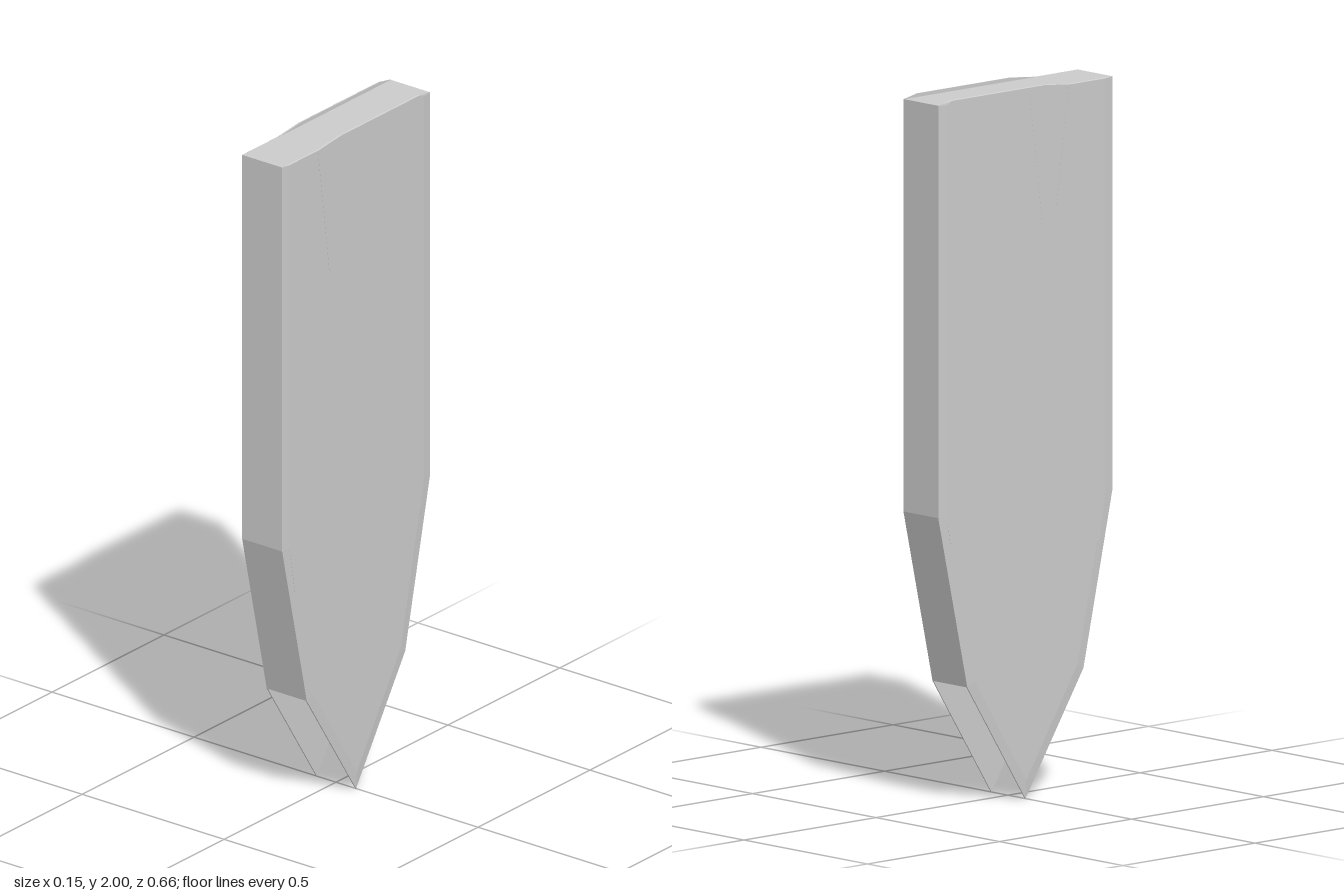
import * as THREE from 'three';

const material = new THREE.MeshStandardMaterial({ color: 0xcccccc, flatShading: true, side: THREE.DoubleSide });

// Outlines as [z, y], counter-clockwise seen from +x
const EDGE = [[0, 0], [-0.22, 0.34], [-0.33, 0.83], [-0.33, 1.99], [-0.28, 2], [0.07, 2], [0.17, 1.99], [0.33, 1.99], [0.33, 0.83], [0.22, 0.34]];
const FACE = [[0, 0.05], [-0.195, 0.355], [-0.3, 0.835], [-0.3, 1.988], [-0.28, 1.998], [0.07, 1.998], [0.17, 1.988], [0.3, 1.988], [0.3, 0.835], [0.195, 0.355]];

// Thin plate with a shallow bevel on its outer face
function plateGeometry(side) {
  const rings = [[0.067, EDGE], [0.0705, EDGE], [0.0735, FACE]];
  const n = EDGE.length;
  const positions = [];
  const vertex = (r, i) => [side * rings[r][0], rings[r][1][i % n][1], rings[r][1][i % n][0]];
  const tri = (a, b, c) => positions.push(...a, ...(side > 0 ? [...b, ...c] : [...c, ...b]));
  for (let i = 0; i < n; i++) {
    for (let r = 0; r < 2; r++) {
      tri(vertex(r, i), vertex(r, i + 1), vertex(r + 1, i + 1));
      tri(vertex(r, i), vertex(r + 1, i + 1), vertex(r + 1, i));
    }
    tri([side * 0.0735, 1.2, 0], vertex(2, i), vertex(2, i + 1));
    tri([side * 0.067, 1.2, 0], vertex(0, i + 1), vertex(0, i));
  }
  const geometry = new THREE.BufferGeometry();
  geometry.setAttribute('position', new THREE.Float32BufferAttribute(positions, 3));
  geometry.computeVertexNormals();
  return geometry;
}

// Hollow band joining the plates, open at the bottom
function bandGeometry() {
  const half = [[0.22, 0.34], [0.33, 0.83], [0.33, 1.99]];
  const inner = [[0.324, 1.984], [0.324, 0.83], [0.214, 0.34]];
  const mirror = (points) => points.map(([z, y]) => [-z, y]).reverse();
  const loop = [...half, ...mirror(half), ...mirror(inner), ...inner];
  const shape = new THREE.Shape(loop.map(([z, y]) => new THREE.Vector2(z, y)));
  const geometry = new THREE.ExtrudeGeometry(shape, { depth: 0.14, bevelEnabled: false });
  return geometry.translate(0, 0, -0.07).rotateY(-Math.PI / 2);
}

// Fine line on a plate face from one [z, y] point to another
function addLine(parent, name, side, x, from, to, width) {
  const dz = to[0] - from[0], dy = to[1] - from[1];
  const line = new THREE.Mesh(new THREE.BoxGeometry(0.002, Math.hypot(dz, dy), width), material);
  line.name = name;
  line.position.set(side * x, (from[1] + to[1]) / 2, (from[0] + to[0]) / 2);
  line.rotation.x = Math.atan2(dz, dy);
  parent.add(line);
}

export function createModel() {
  const model = new THREE.Group();
  model.name = 'pointedSheath';

  const band = new THREE.Mesh(bandGeometry(), material);
  band.name = 'edgeBand';
  model.add(band);

  for (const side of [1, -1]) {
    const group = new THREE.Group();
    group.name = side > 0 ? 'leftSide' : 'rightSide';
    const plate = new THREE.Mesh(plateGeometry(side), material);
    plate.name = 'plate';
    group.add(plate);
    // Slim ridges near the top and at the shoulder
    addLine(group, 'topRidge', side, 0.073, [0.115, 1.6], [0.167, 1.985], 0.014);
    addLine(group, 'topSeam', side, 0.0727, [0.065, 1.59], [0.015, 1.98], 0.003);
    addLine(group, 'shoulderRidge', side, 0.0725, [0.273, 0.69], [0.298, 0.83], 0.007);
    addLine(group, 'shoulderSeam', side, 0.0725, [-0.285, 0.75], [-0.295, 0.81], 0.003);
    model.add(group);
  }
  return model;
}
